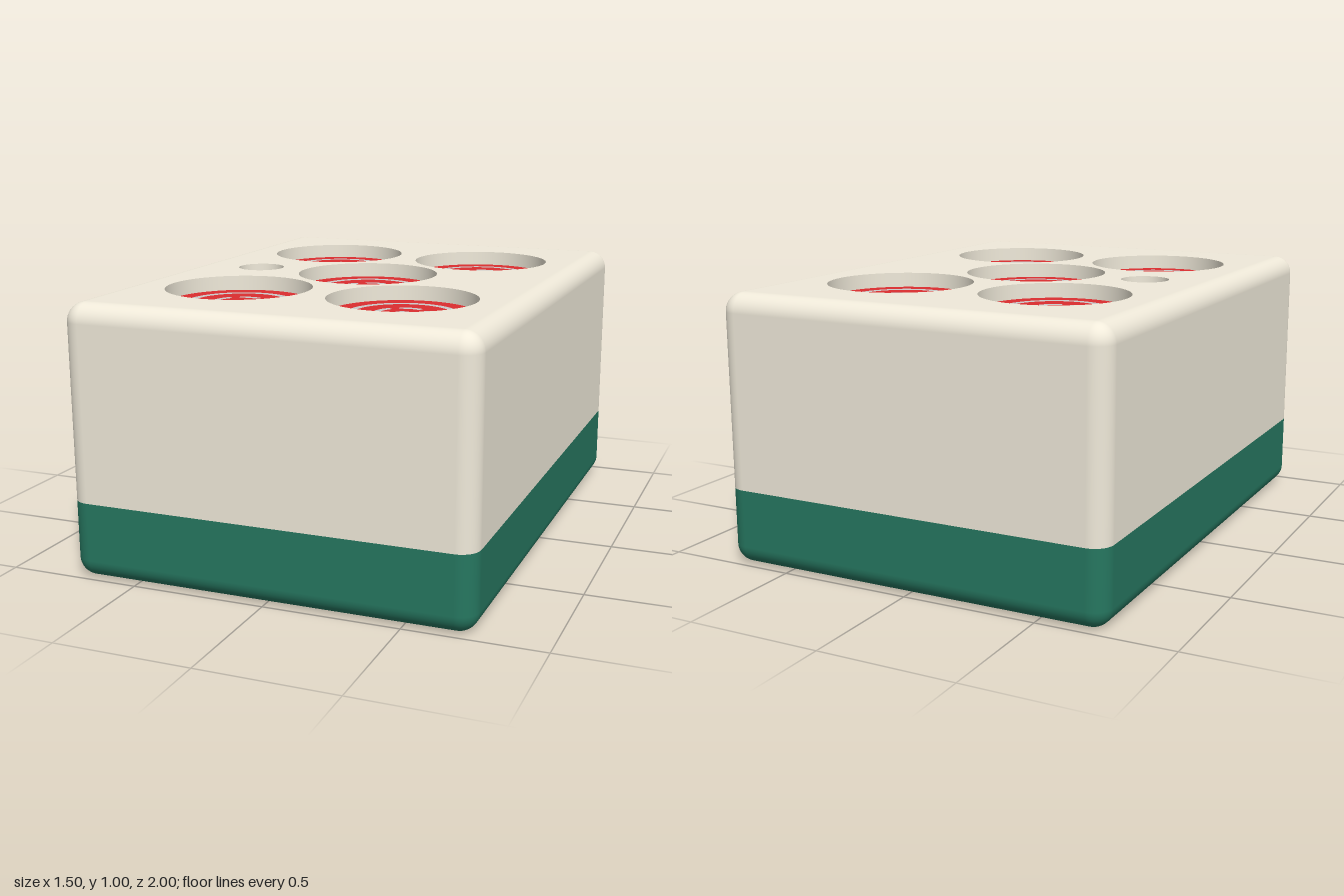
import * as THREE from 'three';

const W = 0.75, H = 1, D = 1, R = 0.07;   // half width, height, half depth, edge radius
const SPLIT = 0.285, DEPTH = 0.055;       // colour seam height, depth of the carved dots

const cream = new THREE.MeshStandardMaterial({ color: 0xf0eada });
const creamWall = new THREE.MeshStandardMaterial({ color: 0xf0eada, side: THREE.DoubleSide });
const green = new THREE.MeshStandardMaterial({ color: 0x267760 });
const red = new THREE.MeshStandardMaterial({ color: 0xdb2d2f });
const grey = new THREE.MeshStandardMaterial({ color: 0xcccccc });

function add(parent, name, geometry, material, x = 0, y = 0, z = 0) {
  const mesh = new THREE.Mesh(geometry, material);
  mesh.name = name;
  mesh.position.set(x, y, z);
  parent.add(mesh);
  return mesh;
}

// Flat shape laid down to face up; shape y becomes -z
const flat = (shape) => new THREE.ShapeGeometry(shape, 48).rotateX(-Math.PI / 2);

const rectangle = (w, d) => new THREE.Shape([
  new THREE.Vector2(-w, -d), new THREE.Vector2(w, -d),
  new THREE.Vector2(w, d), new THREE.Vector2(-w, d),
]);

// Rounded-rectangle side walls through levels [height, tilt], listed from low to high
function sides(levels, steps = 10) {
  const pos = [], nor = [], index = [];
  const count = 4 * (steps + 1);
  for (const [y, tilt] of levels) {
    for (let c = 0; c < 4; c++) {
      const sx = c === 0 || c === 3 ? 1 : -1, sz = c < 2 ? 1 : -1;
      for (let i = 0; i <= steps; i++) {
        const a = (c + i / steps) * Math.PI / 2;
        const nx = Math.cos(a) * Math.cos(tilt), nz = Math.sin(a) * Math.cos(tilt);
        pos.push(sx * (W - R) + R * nx, y, sz * (D - R) + R * nz);
        nor.push(nx, Math.sin(tilt), nz);
      }
    }
  }
  for (let l = 0; l < levels.length - 1; l++) {
    for (let i = 0; i < count; i++) {
      const j = (i + 1) % count;
      const a = l * count + i, b = l * count + j;
      index.push(a, a + count, b, b, a + count, b + count);
    }
  }
  const g = new THREE.BufferGeometry();
  g.setAttribute('position', new THREE.Float32BufferAttribute(pos, 3));
  g.setAttribute('normal', new THREE.Float32BufferAttribute(nor, 3));
  g.setIndex(index);
  return g;
}

function ring(inner, outer) {
  const s = new THREE.Shape().absarc(0, 0, outer, 0, Math.PI * 2);
  s.holes.push(new THREE.Path().absarc(0, 0, inner, 0, Math.PI * 2, true));
  return flat(s);
}

// Curved dash with round ends, centred on the given angle
function dash(radius, half, angle, spread) {
  const a = angle - spread, b = angle + spread;
  const s = new THREE.Shape();
  s.absarc(0, 0, radius + half, a, b);
  s.absarc(radius * Math.cos(b), radius * Math.sin(b), half, b, b + Math.PI);
  s.absarc(0, 0, radius - half, b, a, true);
  s.absarc(radius * Math.cos(a), radius * Math.sin(a), half, a + Math.PI, a + 2 * Math.PI);
  return flat(s);
}

export function createModel() {
  const group = new THREE.Group();
  group.name = 'gameTile';

  const dots = [
    [-0.32, -0.485, 0.27], [0.315, -0.485, 0.27], [0, 0, 0.27],
    [-0.32, 0.48, 0.27], [0.315, 0.48, 0.27], [-0.46, 0, 0.09],
  ];

  // Body: cream upper part and green base
  const upper = [[SPLIT, 0]], lower = [];
  for (let i = 0; i <= 10; i++) {
    const t = (i / 10) * Math.PI / 2;
    upper.push([H - R + R * Math.sin(t), t]);
    lower.push([R - R * Math.cos(t), t - Math.PI / 2]);
  }
  lower.push([SPLIT, 0]);
  add(group, 'upperBody', sides(upper), cream);
  add(group, 'baseBody', sides(lower), green);
  add(group, 'baseUnderside', flat(rectangle(W - R, D - R)).rotateX(Math.PI), green);

  // Top face pierced by the dots
  const face = rectangle(W - R, D - R);
  for (const [x, z, r] of dots) {
    face.holes.push(new THREE.Path().absarc(x, -z, r, 0, Math.PI * 2, true));
  }
  add(group, 'topFace', flat(face), cream, 0, H, 0);

  // Carved dots: wall, red floor and grey inlays
  for (const [x, z, r] of dots) {
    const dot = new THREE.Group();
    dot.name = r > 0.1 ? 'largeDot' : 'smallDot';
    dot.position.set(x, H - DEPTH, z);
    group.add(dot);
    add(dot, 'dotWall', new THREE.CylinderGeometry(r, r, DEPTH, 96, 1, true), creamWall, 0, DEPTH / 2, 0);
    add(dot, 'dotFloor', new THREE.CircleGeometry(r, 96).rotateX(-Math.PI / 2), red);
    if (r < 0.1) continue;
    add(dot, 'outerRing', ring(0.173, 0.201), grey, 0, 0.002, 0);
    add(dot, 'centreRing', ring(0.015, 0.032), grey, 0, 0.002, 0);
    for (let i = 0; i < 5; i++) {
      const angle = Math.PI / 2 + (i * Math.PI * 2) / 5;
      add(dot, 'curvedDash', dash(0.093, 0.013, angle, 0.33), grey, 0, 0.002, 0);
    }
  }
  return group;
}
